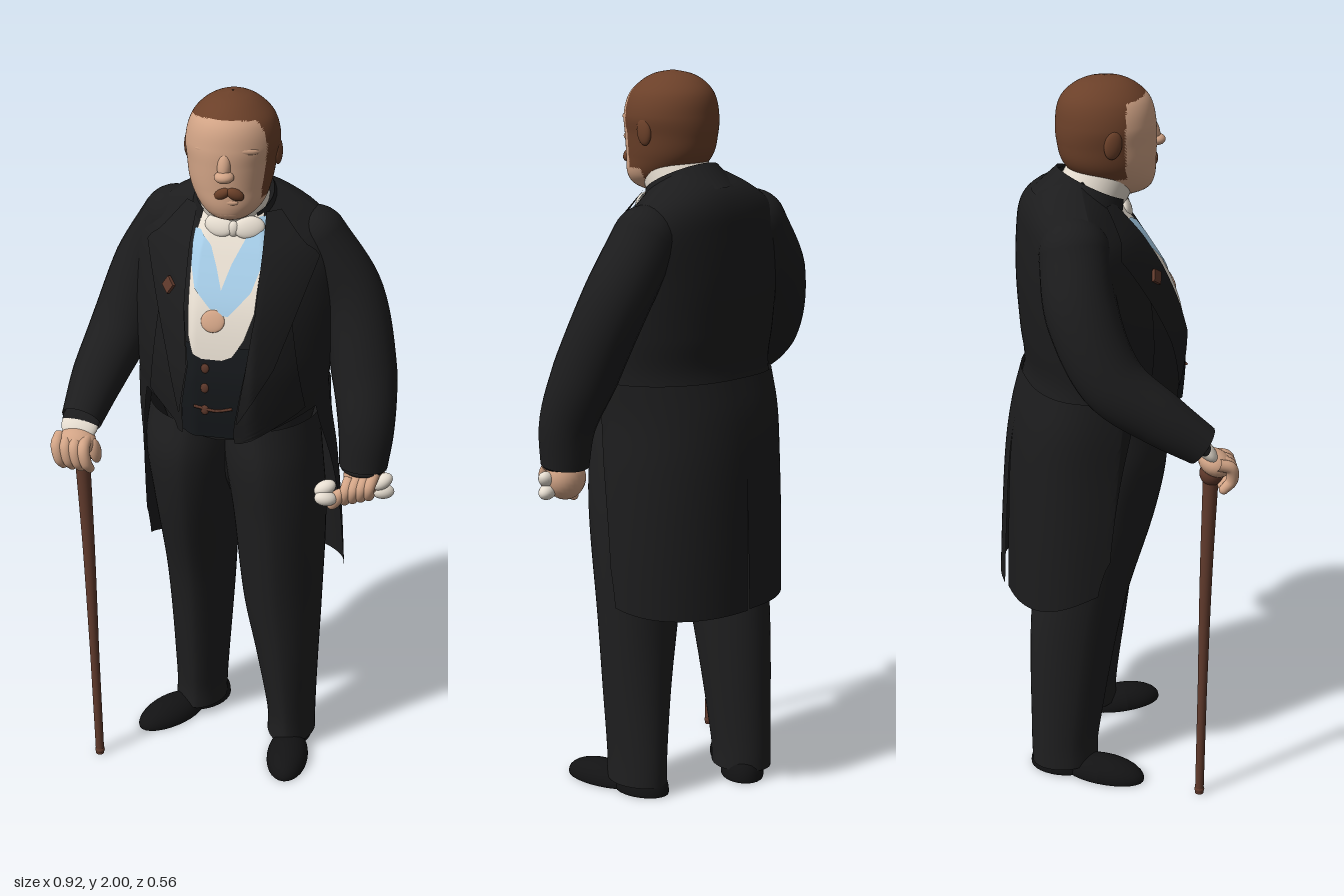
import * as THREE from 'three';

const mat = (name, color) => Object.assign(new THREE.MeshStandardMaterial({ color, side: THREE.DoubleSide }), { name });
const M = {
  coat: mat('coat black', 0x1c1c1d),
  trousers: mat('trouser black', 0x1f1f20),
  vest: mat('waistcoat black', 0x15181b),
  shoe: mat('shoe black', 0x131314),
  skin: mat('skin', 0xd2a486),
  hair: mat('hair brown', 0x6b4029),
  wood: mat('wood brown', 0x603a2c),
  white: mat('linen white', 0xe6ddd0),
  blue: mat('sash blue', 0xa6cde8),
};

// Sections are [y, cx, cz, rx, rz], rising in y
const TORSO = [
  [1.085, 0, -.01, .265, .222], [1.2, 0, .008, .265, .214], [1.3, 0, 0, .272, .216], [1.45, 0, -.025, .275, .2],
  [1.58, 0, -.06, .27, .16], [1.65, 0, -.08, .22, .13], [1.7, 0, -.08, .145, .1], [1.735, 0, -.075, .08, .05],
];
const HEAD = [
  [1.672, .008, .06, .02, .025], [1.69, .008, .062, .055, .068], [1.72, .006, .047, .086, .1], [1.77, 0, .024, .108, .125],
  [1.83, 0, .016, .118, .134], [1.88, .002, .014, .124, .134], [1.935, .002, .012, .11, .122], [1.97, 0, .01, .08, .092],
  [1.992, 0, .01, .042, .05], [2, 0, .01, .003, .003],
];
const HIPS = [[.83, .005, -.02, .05, .05], [.9, .005, -.03, .13, .1], [1.0, .005, -.04, .19, .13], [1.12, 0, -.04, .23, .14]];
const LEFT_LEG = [[.03, .172, -.01, .07, .1], [.1, .172, -.01, .07, .1], [.3, .16, .003, .09, .108], [.5, .146, .012, .113, .12], [.8, .135, .02, .132, .152], [.97, .115, .018, .138, .168], [1.1, .1, .005, .138, .165]];
const RIGHT_LEG = [[.03, -.128, -.135, .076, .095], [.1, -.126, -.135, .076, .097], [.5, -.116, -.095, .1, .132], [.8, -.115, -.03, .122, .158], [.97, -.112, -.005, .138, .165], [1.1, -.097, -.005, .138, .158]];
const SKIRT = [[.54, .025, -.05, .285, .222], [.75, .018, -.035, .283, .232], [.95, .01, -.02, .276, .238], [1.08, 0, -.01, .27, .232], [1.18, 0, 0, .268, .216]];
// Section powers [right, left]; flat is where the front is cut level
const ROUND = { front: [2, 2], back: [2, 2], flat: 1 };
const LEG = { front: [1.7, 1.7], back: [2, 2], flat: 1 };
const COAT = { front: [1.1, 1.35], back: [2.8, 2.1], flat: .8 };

// Smooth interpolation between sections
function at(S, y) {
  let i = 0;
  while (i < S.length - 2 && y > S[i + 1][0]) i++;
  const h = S[i + 1][0] - S[i][0], t = THREE.MathUtils.clamp((y - S[i][0]) / h, 0, 1);
  const slope = (k, c) => {
    const a = S[Math.max(k - 1, 0)], b = S[Math.min(k + 1, S.length - 1)];
    return (b[c] - a[c]) / (b[0] - a[0]) * h;
  };
  return [0, 1, 2, 3, 4].map(c => c === 0 ? y : (2 * t ** 3 - 3 * t * t + 1) * S[i][c] + (t ** 3 - 2 * t * t + t) * slope(i, c)
    + (3 * t * t - 2 * t ** 3) * S[i + 1][c] + (t ** 3 - t * t) * slope(i + 1, c));
}

// Grid surface from a point rule; closed joins the last column to the first
function grid(cols, rows, rule, closed = false) {
  const pos = [], idx = [], n = closed ? cols : cols + 1;
  for (let j = 0; j <= rows; j++) for (let i = 0; i < n; i++) pos.push(...rule(i / cols, j / rows));
  for (let j = 0; j < rows; j++) for (let i = 0; i < cols; i++) {
    const a = j * n + i, b = j * n + (i + 1) % n;
    idx.push(a, b, b + n, a, b + n, a + n);
  }
  const g = new THREE.BufferGeometry();
  g.setAttribute('position', new THREE.Float32BufferAttribute(pos, 3));
  g.setIndex(idx);
  g.computeVertexNormals();
  return g;
}
// Point on a section
function ring(s, t, y, shape) {
  const c = Math.cos(t), n = Math.sin(t), q = 2 / (c > 0 ? shape.front : shape.back)[n > 0 ? 1 : 0];
  const k = Math.abs(c) ** q;
  return [s[1] + s[3] * Math.sign(n) * Math.abs(n) ** q, y, s[2] + s[4] * (c > 0 ? Math.min(k, shape.flat) / shape.flat : -k)];
}
const loft = (S, cols = 48, rows = 40, shape = ROUND) => grid(cols, rows, (u, v) => {
  const y = THREE.MathUtils.lerp(S[0][0], S.at(-1)[0], v);
  return ring(at(S, y), u * Math.PI * 2, y, shape);
}, true);

// Cloth panel on the chest; rows are [y, xLeft, xRight], rising in y
function panel(R, off) {
  return grid(12, 32, (u, v) => {
    const y = THREE.MathUtils.lerp(R[0][0], R.at(-1)[0], v);
    let i = 0;
    while (i < R.length - 2 && y > R[i + 1][0]) i++;
    const t = (y - R[i][0]) / (R[i + 1][0] - R[i][0]);
    const x = THREE.MathUtils.lerp(THREE.MathUtils.lerp(R[i][1], R[i + 1][1], t), THREE.MathUtils.lerp(R[i][2], R[i + 1][2], t), u);
    return [x, y, chestZ(x, y) + off];
  });
}
function chestZ(x, y) {
  const s = at(TORSO, y), p = COAT.front[x > 0 ? 1 : 0];
  const k = Math.max(0, 1 - Math.abs((x - s[1]) / s[3]) ** p) ** (1 / p);
  return s[2] + s[4] * Math.min(k, COAT.flat) / COAT.flat;
}

// Tube whose radius follows a list of [x, y, z, r]
function limb(P, seg = 28) {
  const curve = new THREE.CatmullRomCurve3(P.map(p => new THREE.Vector3(p[0], p[1], p[2])));
  const g = new THREE.TubeGeometry(curve, seg, 1, 24), a = g.attributes.position, v = new THREE.Vector3();
  for (let i = 0; i < a.count; i++) {
    const u = Math.floor(i / 25) / seg, c = curve.getPointAt(u), f = curve.getUtoTmapping(u) * (P.length - 1);
    const k = Math.min(Math.floor(f), P.length - 2);
    v.fromBufferAttribute(a, i).sub(c).multiplyScalar(THREE.MathUtils.lerp(P[k][3], P[k + 1][3], f - k)).add(c);
    a.setXYZ(i, v.x, v.y, v.z);
  }
  return g;
}

export function createModel() {
  const root = new THREE.Group();
  root.name = 'gentleman';
  const add = (name, geo, m, parent = root) => {
    const o = new THREE.Mesh(geo, m);
    o.name = name;
    parent.add(o);
    return o;
  };
  const ball = (name, m, p, r, rot = [0, 0, 0]) => {
    const o = add(name, new THREE.SphereGeometry(1, 24, 16), m);
    o.position.set(...p); o.scale.set(...r); o.rotation.set(...rot);
  };

  // Trousers and shoes
  add('trouserSeat', loft(HIPS), M.trousers);
  add('leftTrouserLeg', loft(LEFT_LEG, 48, 40, LEG), M.trousers);
  add('rightTrouserLeg', loft(RIGHT_LEG, 48, 40, LEG), M.trousers);
  for (const [name, x, z, turn] of [['leftShoe', .172, -.01, .1], ['rightShoe', -.13, -.135, -.62]]) {
    const shoe = new THREE.Group();
    shoe.name = name; shoe.position.set(x, 0, z); shoe.rotation.y = turn;
    root.add(shoe);
    for (const [part, cz, rx, ry, rz] of [['heel', -.02, .06, .08, .085], ['toe', .12, .06, .052, .12]]) {
      const g = new THREE.SphereGeometry(1, 28, 18).scale(rx, ry, rz), a = g.attributes.position;
      for (let i = 0; i < a.count; i++) a.setY(i, Math.max(a.getY(i), -.006));
      g.translate(0, .006, cz);
      g.computeVertexNormals();
      add(part, g, M.shoe, shoe);
    }
  }

  // Tailcoat body with a hem that rises to the sides
  add('coatBody', grid(72, 44, (u, v) => {
    const t = u * Math.PI * 2, hem = 1.085 + .06 * Math.sin(t) ** 2;
    const y = THREE.MathUtils.lerp(hem, 1.735, v);
    return ring(at(TORSO, y), t, y, COAT);
  }, true), M.coat);

  for (const side of [1, -1]) {
    // Tail, meeting its twin at the back vent
    add(side > 0 ? 'leftTail' : 'rightTail', grid(32, 28, (u, v) => {
      const w = side > 0 ? u : 1 - u;
      const front = THREE.MathUtils.lerp(1.62, 1.15, v ** 1.3), back = Math.PI + (side > 0 ? .02 : -.05 * (1 - v));
      const hem = .542 + (side > 0 ? .03 : .065) * (1 - w) ** 3;
      const y = THREE.MathUtils.lerp(hem, 1.18, v);
      const p = ring(at(SKIRT, y), side * THREE.MathUtils.lerp(front, back, w), y, COAT);
      if (side > 0) p[2] -= .006 * (1 - v);
      return p;
    }), M.coat);
    // Front quarter and lapel
    const flip = R => R.map(([y, a, b]) => side > 0 ? [y, a, b] : [y, -b, -a]);
    const edge = side > 0 ? .046 : .098;
    add('coatFront', panel(flip([[1.085, edge + .004, edge + .02], [1.11, edge, .13], [1.15, edge + .005, .22], [1.3, .078, .2], [1.45, .1, .18]]), .01), M.coat);
    add('lapel', panel(flip([[1.15, edge + .01, edge + .014], [1.3, .08, .15], [1.45, .098, .2], [1.57, .1, .24], [1.6, .1, .2], [1.68, .095, .13]]), .018), M.coat);
  }
  const collar = add('coatCollar', new THREE.CylinderGeometry(.104, .14, .085, 40, 1, true, .75, Math.PI * 2 - 1.5), M.coat);
  collar.position.set(0, 1.675, -.042); collar.rotation.x = .45;

  // Waistcoat, shirt front and sash
  add('waistcoat', panel([[1.095, -.105, .055], [1.2, -.1, .065], [1.36, -.09, .09]], .004), M.vest);
  add('shirtFront', panel([[1.325, -.04, .015], [1.335, -.065, .04], [1.38, -.082, .07], [1.45, -.087, .094], [1.6, -.094, .1], [1.69, -.07, .085]], .007), M.white);
  add('sashRight', panel([[1.455, -.025, 0], [1.5, -.072, 0], [1.55, -.09, -.018], [1.6, -.094, -.04], [1.63, -.092, -.075]], .01), M.blue);
  add('sashLeft', panel([[1.44, -.005, .025], [1.5, 0, .08], [1.56, .02, .1], [1.62, .05, .1], [1.67, .08, .095]], .01), M.blue);
  ball('medal', M.skin, [-.015, 1.425, chestZ(0, 1.425) + .008], [.032, .03, .007], [-.4, 0, 0]);
  for (const y of [1.3, 1.245, 1.18]) ball('waistcoatButton', M.wood, [-.03, y, chestZ(-.03, y) + .006], [.011, .014, .005]);
  add('watchChain', new THREE.TubeGeometry(new THREE.CatmullRomCurve3([-.06, 0, .045].map((x, i) =>
    new THREE.Vector3(x, i === 1 ? 1.18 : 1.19, chestZ(x, 1.18) + .007))), 12, .004, 6), M.wood);
  const pin = add('lapelPin', new THREE.BoxGeometry(.034, .034, .009), M.wood);
  pin.position.set(-.152, 1.485, chestZ(-.152, 1.485) + .026); pin.rotation.set(-.35, -.7, Math.PI / 4);

  // Shirt collar and bow tie
  const neck = add('shirtCollar', new THREE.CylinderGeometry(.092, .095, .13, 40), M.white);
  neck.position.set(0, 1.69, -.022); neck.rotation.x = .5;
  for (const s of [1, -1]) {
    ball('bowTieWing', M.white, [.015 + s * .04, 1.645, .064], [.042, .03, .014], [-.4, s * .2, s * .2]);
  }
  ball('bowTieKnot', M.white, [.015, 1.64, .071], [.016, .022, .013]);

  // Head: hair and face are faces of one surface
  const head = loft(HEAD, 96, 80), p = head.attributes.position, src = head.index.array, hair = [], face = [];
  for (let i = 0; i < src.length; i += 3) {
    const c = k => (p.getComponent(src[i], k) + p.getComponent(src[i + 1], k) + p.getComponent(src[i + 2], k)) / 3;
    const [x, y, z] = [c(0), c(1), c(2)];
    const edge = (x > 0 ? .085 : .085 + x * .4) - (y < 1.74 ? .05 : 0);
    (z > edge && y < 1.956 - 1.2 * x * x ? face : hair).push(src[i], src[i + 1], src[i + 2]);
  }
  head.setIndex([...hair, ...face]);
  head.addGroup(0, hair.length, 0);
  head.addGroup(hair.length, face.length, 1);
  add('head', head, [M.hair, M.skin]);
  ball('noseBridge', M.skin, [.006, 1.842, .144], [.018, .04, .018], [-.3, 0, 0]);
  ball('noseTip', M.skin, [.008, 1.815, .155], [.026, .016, .024]);
  ball('chin', M.skin, [.008, 1.712, .108], [.048, .028, .036]);
  ball('lowerLip', M.skin, [.016, 1.742, .14], [.026, .009, .009]);
  for (const s of [1, -1]) {
    ball('brow', M.skin, [.004 + s * .045, 1.878, .115], [.046, .014, .022], [0, s * .35, -s * .1]);
    ball('moustacheHalf', M.hair, [.017 + s * .018, 1.766, .144], [.025, .015, .013], [0, s * .3, -s * .5]);
    ball('ear', M.hair, [s * .119, 1.842, .004], [.012, .038, .024], [.15, 0, 0]);
  }

  // Sleeves
  const rightArm = [[-.185, 1.58, -.115, .095], [-.265, 1.44, -.115, .097], [-.33, 1.27, -.05, .088], [-.367, 1.17, .07, .074], [-.387, 1.09, .18, .056]];
  const leftArm = [[.205, 1.57, -.085, .09], [.305, 1.42, -.075, .092], [.36, 1.22, -.012, .09], [.378, 1.08, .04, .077], [.375, .965, .055, .066]];
  for (const [side, arm] of [['right', rightArm], ['left', leftArm]]) {
    add(side + 'Sleeve', limb(arm), M.coat);
    const [x, y, z, r] = arm[0], e = arm.at(-1);
    ball(side + 'Shoulder', M.coat, [x, y, z], [r, r, r]);
    ball(side + 'SleeveEnd', M.coat, [e[0], e[1], e[2]], [e[3] * .95, .02, e[3] * .9], side === 'right' ? [.9, 0, 0] : [0, 0, 0]);
  }
  ball('rightCuff', M.white, [-.389, 1.078, .19], [.052, .02, .047], [.9, 0, 0]);

  // Right hand closed over the cane
  ball('rightPalm', M.skin, [-.392, 1.04, .215], [.054, .036, .046], [.5, 0, 0]);
  for (let i = 0; i < 4; i++) {
    const x = -.44 + i * .026, z = .004 * i;
    add('rightFinger', limb([[x, 1.053, .21, .016], [x, 1.04, .245 + z, .017], [x + .008, 1.0, .25 + z, .016], [x + .012, .975, .23 + z, .013]], 14), M.skin);
    ball('rightFingertip', M.skin, [x + .012, .975, .23 + z], [.013, .013, .013]);
  }
  ball('rightThumb', M.skin, [-.342, 1.015, .212], [.017, .04, .02], [.2, 0, .1]);
  add('cane', limb([[-.36, 0, .2, .012], [-.366, .35, .201, .013], [-.372, .7, .203, .017], [-.38, 1.0, .208, .021]]), M.wood);
  ball('caneKnob', M.wood, [-.381, 1.005, .21], [.033, .034, .033]);
  ball('caneFerrule', M.wood, [-.36, .012, .2], [.014, .012, .014]);

  // Left hand holding a pair of gloves
  ball('leftPalm', M.skin, [.378, .93, .05], [.058, .06, .052]);
  for (let i = 0; i < 4; i++) {
    const x = .334 + i * .022, y = .9 + i * .007;
    add('leftFinger', limb([[x + .01, y + .04, .085, .017], [x, y + .005, .11, .016], [x - .002, y - .025, .095, .015], [x, y - .03, .065, .013]], 14), M.skin);
    ball('leftFingertip', M.skin, [x, y - .03, .065], [.013, .013, .013]);
  }
  ball('leftThumb', M.skin, [.31, .885, .112], [.019, .036, .019], [0, 0, -.5]);
  for (const [x, y, z, a] of [[.43, .93, .068, .5], [.433, .898, .064, -.1], [.28, .918, .115, .4], [.285, .895, .132, -.2]]) {
    ball('glove', M.white, [x, y, z], [.032, .021, .022], [0, .4, a]);
  }
  return root;
}
